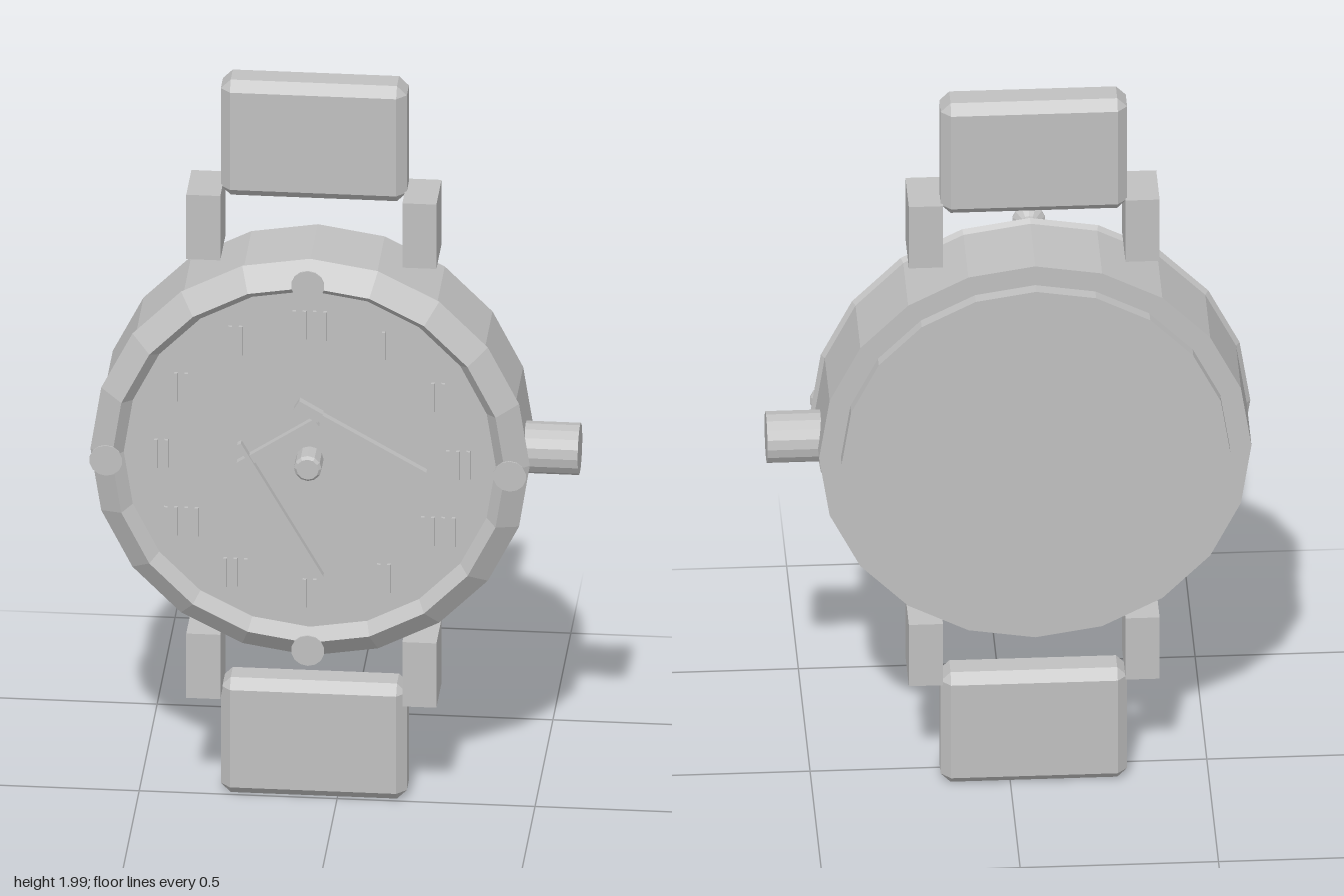
import * as THREE from 'three';
import { ConvexGeometry } from 'three/addons/geometries/ConvexGeometry.js';

export function createModel() {
  const root = new THREE.Group();
  root.name = 'wristwatch';
  const grey = new THREE.MeshStandardMaterial({ color: 0xc0c0c0, flatShading: true });
  grey.name = 'grey';
  const CX = -0.06, CY = 1.0;

  function add(name, geometry, x = 0, y = 0, z = 0) {
    const mesh = new THREE.Mesh(geometry, grey);
    mesh.name = name;
    mesh.position.set(x, y, z);
    root.add(mesh);
    return mesh;
  }

  // Round parts: profile of [radius, z] pairs, listed from back to front
  function turned(name, profile, x = CX, y = CY, sides = 20) {
    const g = new THREE.LatheGeometry(profile.map(([r, z]) => new THREE.Vector2(r, z)), sides);
    g.rotateX(Math.PI / 2);
    return add(name, g, x, y);
  }
  turned('backCover', [[0, -0.163], [0.49, -0.163], [0.49, -0.13]]);
  turned('caseBody', [[0.48, -0.13], [0.545, -0.13], [0.545, 0.08]]);
  turned('bezel', [[0.545, 0.078], [0.555, 0.09], [0.497, 0.138], [0.47, 0.1]]);
  turned('dial', [[0, 0.1], [0.472, 0.1]].reverse());
  turned('centrePin', [[0.035, 0.1], [0.035, 0.156], [0.028, 0.163], [0, 0.163]], CX, CY, 12);

  // Flared screws on the bezel
  for (let i = 0; i < 4; i++) {
    const a = i * Math.PI / 2;
    turned('bezelScrew', [[0.02, 0.13], [0.022, 0.137], [0.042, 0.153], [0.042, 0.157], [0, 0.157]],
      CX + 0.51 * Math.cos(a), CY + 0.51 * Math.sin(a), 14);
  }

  // Crown on the side
  const crown = new THREE.CylinderGeometry(0.066, 0.066, 0.15, 16);
  crown.rotateZ(Math.PI / 2);
  add('crown', crown, 0.537, CY, -0.018);

  // Box with all edges chamfered
  function chamferedBox(w, h, d, c) {
    const pts = [];
    for (const sx of [-1, 1]) for (const sy of [-1, 1]) for (const sz of [-1, 1]) {
      const x = w / 2, y = h / 2, z = d / 2;
      pts.push(new THREE.Vector3(sx * x, sy * (y - c), sz * (z - c)),
        new THREE.Vector3(sx * (x - c), sy * y, sz * (z - c)),
        new THREE.Vector3(sx * (x - c), sy * (y - c), sz * z));
    }
    return new ConvexGeometry(pts);
  }

  // Strap pieces and lugs, above and below the case
  for (const s of [1, -1]) {
    add('strap', chamferedBox(0.47, 0.322, 0.108, 0.025), CX, CY + s * 0.836, -0.043);
    for (const t of [1, -1])
      add('lug', new THREE.BoxGeometry(0.086, 0.18, 0.143), CX + t * 0.273, CY + s * 0.614, -0.015);
  }

  // Hands: flat bars between two points
  function bar(name, x1, y1, x2, y2, width, z, depth) {
    const g = new THREE.BoxGeometry(Math.hypot(x2 - x1, y2 - y1), width, depth);
    const m = add(name, g, (x1 + x2) / 2, (y1 + y2) / 2, z);
    m.rotation.z = Math.atan2(y2 - y1, x2 - x1);
  }
  bar('minuteHand', -0.085, 1.165, 0.233, 0.985, 0.02, 0.13, 0.02);
  bar('minuteHandTail', -0.09, 1.168, -0.03, 1.133, 0.028, 0.13, 0.022);
  bar('hourHand', -0.235, 0.988, -0.04, 1.118, 0.024, 0.125, 0.02);
  bar('secondHand', -0.235, 1.053, -0.027, 0.69, 0.011, 0.132, 0.02);

  // Hour marks: groups of thin upright strokes
  const strokes = [1, 2, 3, 4, 2, 2, 3, 4, 2, 2, 2, 4];
  strokes.forEach((n, i) => {
    const a = (i + 1) * Math.PI / 6;
    const x = CX + 0.375 * Math.sin(a), y = CY + 0.375 * Math.cos(a);
    for (let k = 0; k < n; k++)
      add('hourMark', new THREE.BoxGeometry(0.009, 0.08, 0.009), x + (k - (n - 1) / 2) * 0.026, y, 0.104);
  });

  return root;
}
